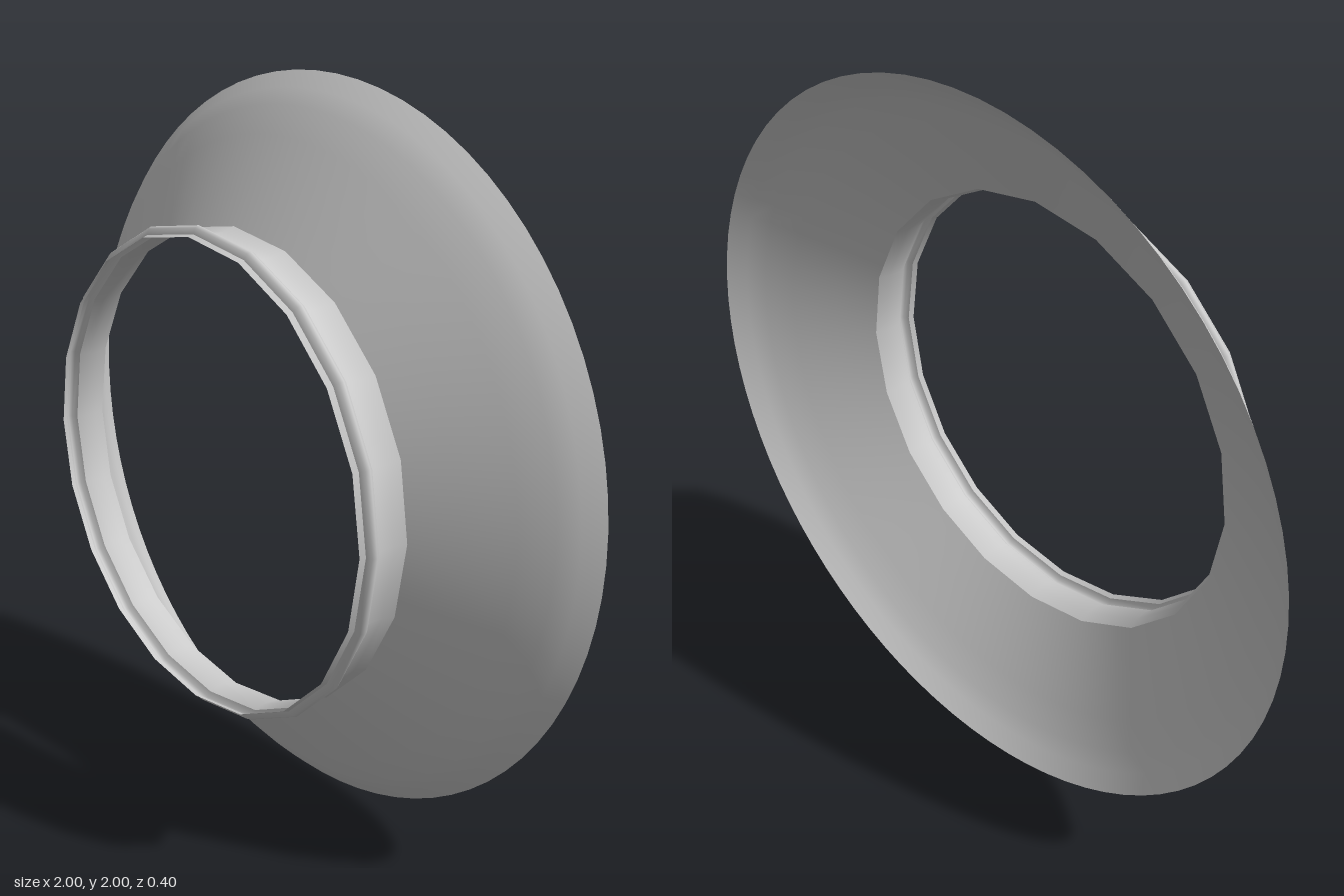
import * as THREE from 'three';

const NECK_SIDES = 20;

// Profile points are [radius, z]; the axis of revolution points to the front.
function revolve(name, profile, sides, material, reshape) {
  const points = profile.map(([r, z]) => new THREE.Vector2(r, z));
  const geometry = new THREE.LatheGeometry(points, sides);
  if (reshape) reshape(geometry);
  geometry.rotateX(Math.PI / 2);
  const mesh = new THREE.Mesh(geometry, material);
  mesh.name = name;
  mesh.position.y = 1;
  return mesh;
}

// Pulls the inner edge of the flare onto the flat sides of the neck.
function fitToNeck(geometry) {
  const p = geometry.attributes.position;
  const step = (2 * Math.PI) / NECK_SIDES;
  for (let i = 0; i < p.count; i++) {
    if (p.getY(i) < 0.059) continue;
    const a = Math.atan2(p.getX(i), p.getZ(i));
    const offset = a - (Math.floor(a / step + 1e-6) + 0.5) * step;
    const k = Math.cos(step / 2) / Math.cos(offset);
    p.setX(i, p.getX(i) * k);
    p.setZ(i, p.getZ(i) * k);
  }
}

export function createModel() {
  const group = new THREE.Group();
  group.name = 'flaredRing';
  const material = new THREE.MeshStandardMaterial({ color: 0xcccccc, side: THREE.DoubleSide });

  // Open conical flare, curving slightly towards its round rear rim
  group.add(revolve('flare', [
    [0.64, 0.06], [0.74, -0.003], [0.85, -0.075], [0.92, -0.122], [0.96, -0.158], [1, -0.2],
  ], NECK_SIDES * 4, material, fitToNeck));

  // Low-poly neck with a shallow waist
  group.add(revolve('neck', [
    [0.635, 0.15], [0.628, 0.125], [0.63, 0.09], [0.64, 0.06],
  ], NECK_SIDES, material));

  // Raised bead and the plain lip in front of it
  group.add(revolve('bead', [
    [0.635, 0.185], [0.65, 0.179], [0.655, 0.168], [0.65, 0.158], [0.635, 0.15],
  ], NECK_SIDES, material));
  group.add(revolve('lip', [[0.63, 0.2], [0.635, 0.185]], NECK_SIDES, material));

  return group;
}
